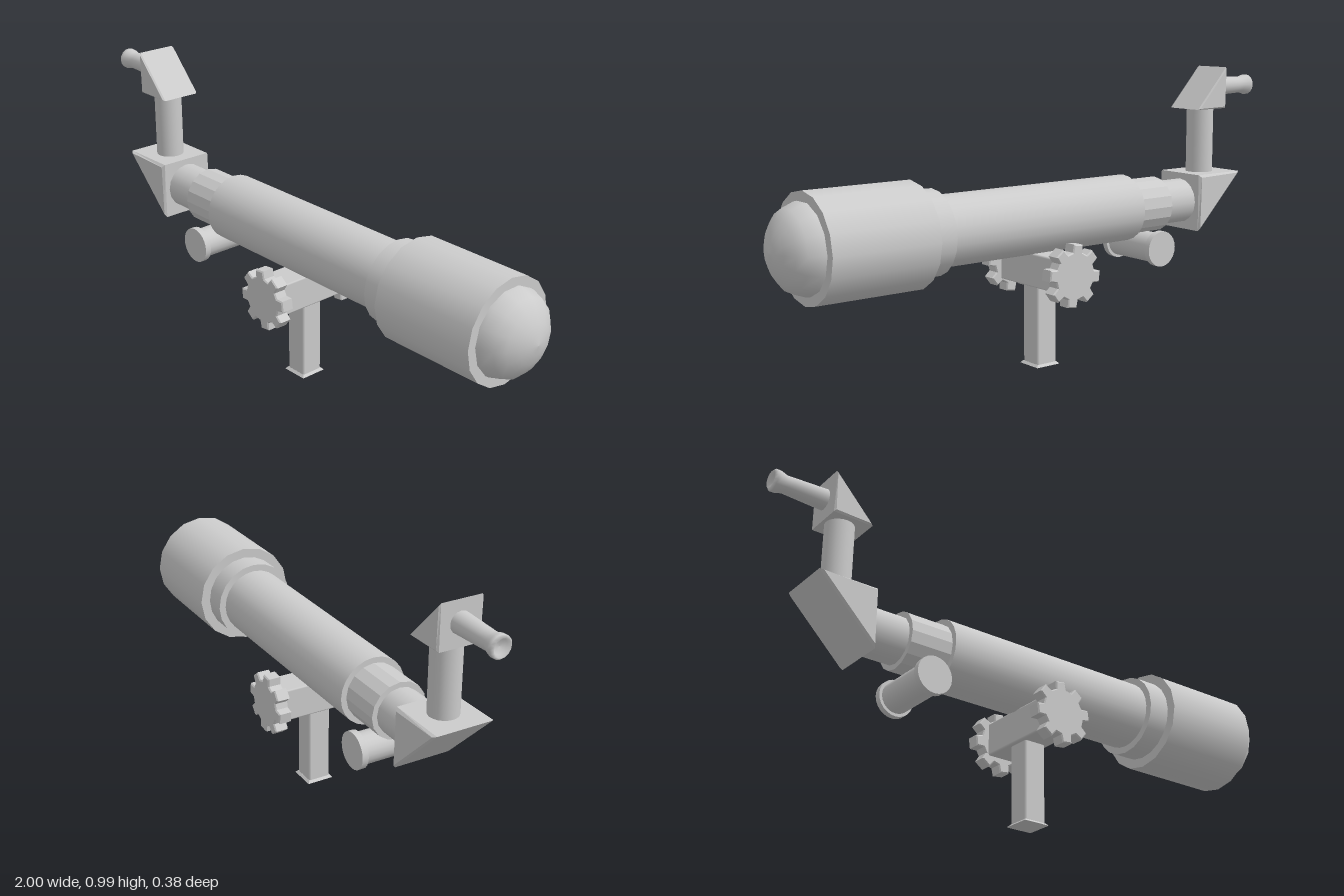
import * as THREE from 'three';
import { RoundedBoxGeometry } from 'three/addons/geometries/RoundedBoxGeometry.js';

const material = new THREE.MeshStandardMaterial({ color: 0xcccccc });
const flatMaterial = new THREE.MeshStandardMaterial({ color: 0xcccccc, flatShading: true });
const AXIS_Y = 0.504;

export function createModel() {
  const model = new THREE.Group();

  const add = (name, geometry, x = 0, y = 0, z = 0, mat = material) => {
    const mesh = new THREE.Mesh(geometry, mat);
    mesh.name = name;
    mesh.position.set(x, y, z);
    model.add(mesh);
    return mesh;
  };

  // Cylinder lying along x between two x positions
  const tubeX = (name, x0, x1, r, sides, mat) => add(name,
    new THREE.CylinderGeometry(r, r, x1 - x0, sides).rotateZ(-Math.PI / 2),
    (x0 + x1) / 2, AXIS_Y, 0, mat);

  // Lathe profile of [radius, x] points, turned to lie along x
  const latheX = (name, points, sides, y) => {
    const profile = points.map(([r, x]) => new THREE.Vector2(r, x));
    return add(name, new THREE.LatheGeometry(profile, sides).rotateZ(-Math.PI / 2), 0, y);
  };

  // Bevelled extrusion along z, centred on z = 0
  const extrudeZ = (points, depth, bevel) => {
    const shape = new THREE.Shape(points.map(([x, y]) => new THREE.Vector2(x, y)));
    return new THREE.ExtrudeGeometry(shape, {
      depth: depth - 2 * bevel, bevelEnabled: true, bevelThickness: bevel,
      bevelSize: bevel, bevelOffset: -bevel, bevelSegments: 1,
    }).translate(0, 0, -depth / 2 + bevel);
  };

  // Optical tube
  tubeX('drawTube', -0.67, -0.52, 0.08, 16);
  tubeX('focuserCollar', -0.525, -0.37, 0.098, 16, flatMaterial);
  tubeX('mainTube', -0.375, 0.44, 0.117, 24);
  tubeX('frontCollar', 0.433, 0.52, 0.141, 20);
  tubeX('dewShield', 0.513, 0.888, 0.175, 16);
  latheX('lensDome', [[0.145, 0.88], [0.143, 0.9], [0.128, 0.94], [0.1, 0.965],
    [0.065, 0.985], [0.03, 0.996], [0, 1]], 14, AXIS_Y);

  // Diagonal prisms and the riser between them
  add('lowerPrism', extrudeZ([[-0.86, 0.605], [-0.655, 0.4], [-0.655, 0.605]], 0.21, 0.009));
  add('riser', new THREE.CylinderGeometry(0.049, 0.049, 0.26, 20), -0.752, 0.72);
  add('upperPrism', extrudeZ([[-0.812, 0.987], [-0.812, 0.838], [-0.672, 0.838]], 0.15, 0.006));

  // Eyepiece with flared, dished end
  latheX('eyepiece', [[0, -0.985], [0.024, -0.988], [0.029, -1], [0.037, -0.992], [0.037, -0.98],
    [0.03, -0.955], [0.031, -0.93], [0.036, -0.8]], 16, 0.915);

  // Focus knobs on a cross shaft
  const knobX = -0.453, knobY = 0.362;
  add('focusShaft', new THREE.CylinderGeometry(0.053, 0.053, 0.22, 20).rotateX(Math.PI / 2), knobX, knobY);
  for (const side of [-1, 1]) {
    add('focusKnob', new THREE.CylinderGeometry(0.063, 0.063, 0.022, 24).rotateX(Math.PI / 2),
      knobX, knobY, side * 0.111);
  }

  // Mount post, foot and cross bar
  add('mountPost', new RoundedBoxGeometry(0.08, 0.3, 0.08, 1, 0.007), 0, 0.15);
  add('mountFoot', new THREE.CylinderGeometry(0.057, 0.068, 0.008, 4).rotateY(Math.PI / 4), 0, 0.004, 0, flatMaterial);
  add('crossBar', new RoundedBoxGeometry(0.112, 0.115, 0.3, 1, 0.006), 0, 0.336);

  // Toothed clamp knobs: eight teeth with a flat tip and narrow flanks
  const gear = [];
  for (let i = 0; i < 8; i++) {
    const mid = THREE.MathUtils.degToRad(97 + i * 45);
    for (const [offset, r] of [[-15, 0.081], [-10, 0.107], [10, 0.107], [15, 0.081]]) {
      const a = mid + THREE.MathUtils.degToRad(offset);
      gear.push([r * Math.cos(a), r * Math.sin(a)]);
    }
  }
  for (const side of [-1, 1]) {
    add('clampKnob', extrudeZ(gear, 0.048, 0.004), 0, 0.335, side * 0.167);
  }

  return model;
}
